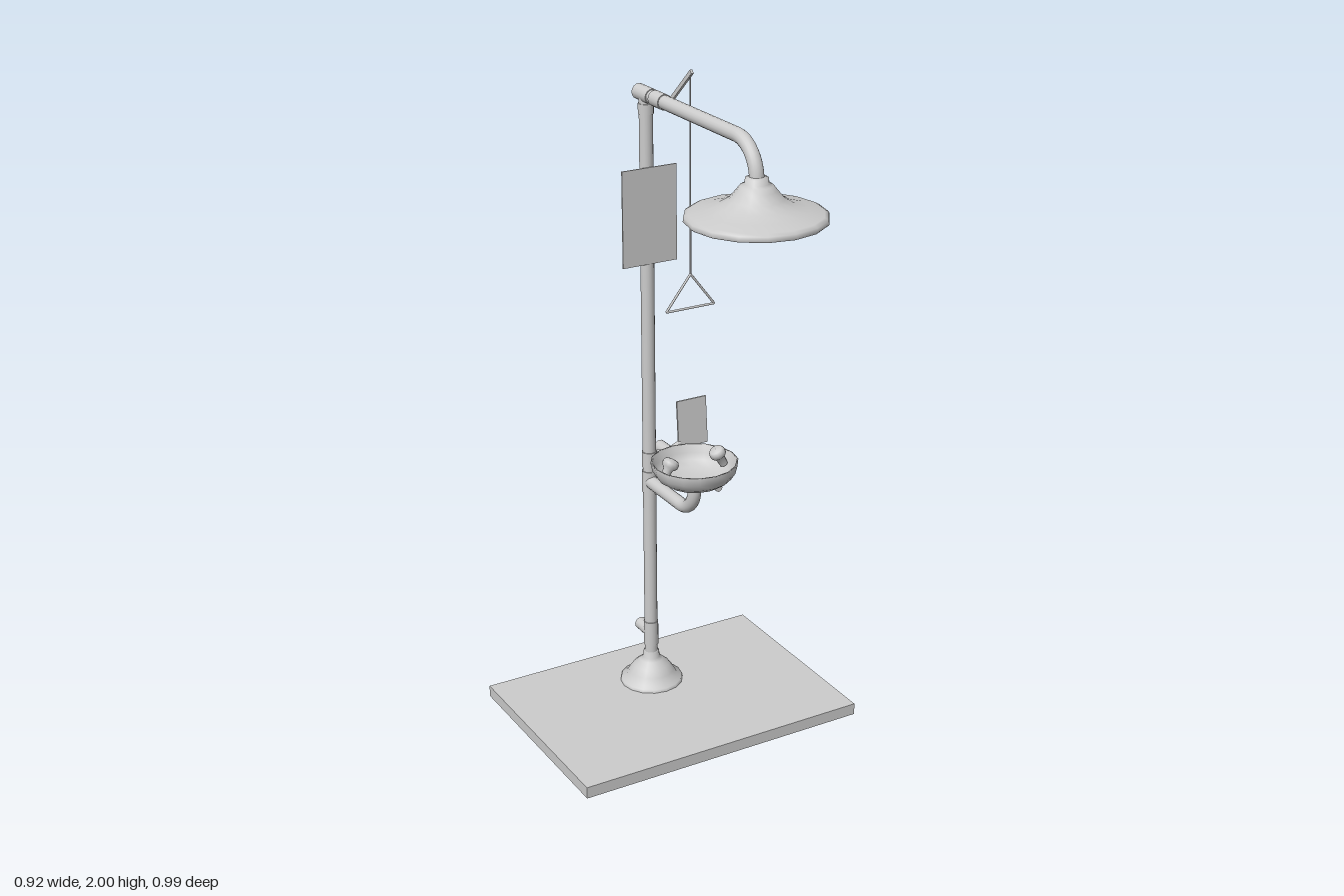
import * as THREE from 'three';

const POLE_Z = -0.287, PIPE_R = 0.02;
const mat = new THREE.MeshStandardMaterial({ color: 0xcccccc });
const matDouble = new THREE.MeshStandardMaterial({ color: 0xcccccc, side: THREE.DoubleSide });
const V = (x, y, z) => new THREE.Vector3(x, y, z);

export function createModel() {
  const root = new THREE.Group();
  root.name = 'emergencyShower';

  const add = (name, geometry, x = 0, y = 0, z = 0, material = mat) => {
    const mesh = new THREE.Mesh(geometry, material);
    mesh.name = name;
    mesh.position.set(x, y, z);
    root.add(mesh);
    return mesh;
  };
  // Straight cylinder between two points
  const rod = (name, a, b, r, sides = 16) => {
    const mesh = add(name, new THREE.CylinderGeometry(r, r, a.distanceTo(b), sides));
    mesh.position.copy(a).add(b).multiplyScalar(0.5);
    mesh.quaternion.setFromUnitVectors(V(0, 1, 0), b.clone().sub(a).normalize());
    return mesh;
  };
  const lathe = (name, pts, x, y, z, sides = 16, material = mat) =>
    add(name, new THREE.LatheGeometry(pts.map(p => new THREE.Vector2(...p)), sides), x, y, z, material);
  // Straight pipe, quarter bend, straight pipe
  const bentPipe = (name, start, corner, end, bend, r) => {
    const a = corner.clone().add(start.clone().sub(corner).setLength(bend));
    const b = corner.clone().add(end.clone().sub(corner).setLength(bend));
    const k = 0.4477;
    const curve = new THREE.CubicBezierCurve3(a, a.clone().lerp(corner, 1 - k), b.clone().lerp(corner, 1 - k), b);
    rod(name + 'Run', start, a, r);
    add(name + 'Elbow', new THREE.TubeGeometry(curve, 12, r, 16));
    if (b.distanceTo(end) > 0.001) rod(name + 'Drop', b, end, r);
  };

  // Base plate, floor flange and pole
  add('basePlate', new THREE.BoxGeometry(0.92, 0.036, 0.658), 0, 0.018, -0.166);
  lathe('floorFlange', [[0.097, 0], [0.095, 0.01], [0.08, 0.016], [0.07, 0.035], [0.055, 0.055],
    [0.035, 0.072], [0.026, 0.08], [0.024, 0.1], [0.02, 0.1]], 0, 0.036, POLE_Z);
  rod('pole', V(0, 0.036, POLE_Z), V(0, 1.895, POLE_Z), PIPE_R);

  // Pipe tees: collars on the pole and a stub at the back of the lowest one
  for (const [y, h] of [[0.2, 0.08], [0.715, 0.07], [0.787, 0.05], [1.855, 0.03]])
    rod('poleCollar', V(0, y - h / 2, POLE_Z), V(0, y + h / 2, POLE_Z), 0.0225);
  rod('drainStub', V(0, 0.2, POLE_Z), V(0, 0.2, -0.355), 0.019);

  // Overhead arm with tee and valve collars
  bentPipe('showerArm', V(0, 1.895, -0.328), V(0, 1.895, 0.302), V(0, 1.79, 0.302), 0.1, PIPE_R);
  rod('armTee', V(0, 1.895, -0.328), V(0, 1.895, -0.25), 0.0225);
  rod('showerValve', V(0, 1.895, -0.235), V(0, 1.895, -0.18), 0.0225);

  // Shower head
  lathe('showerHead', [[0.188, 1.69], [0.192, 1.694], [0.191, 1.706], [0.18, 1.712], [0.14, 1.721],
    [0.1, 1.733], [0.073, 1.749], [0.054, 1.772], [0.044, 1.785], [0.033, 1.79], [0.031, 1.805], [0.019, 1.808]], 0, 0, 0.302);
  add('sprayFace', new THREE.CircleGeometry(0.189, 16).rotateX(Math.PI / 2), 0, 1.692, 0.302);

  // Pull lever, rod and triangular handle
  rod('leverPivot', V(0, 1.89, -0.2), V(0.034, 1.89, -0.2), 0.008, 10);
  const lever = add('pullLever', new THREE.BoxGeometry(0.008, 0.012, 0.172), 0.026, 1.941, -0.14);
  lever.rotation.x = -Math.atan2(0.112, 0.124);
  const apex = V(0.025, 1.425, -0.083), left = V(0.102, 1.325, -0.083), right = V(-0.053, 1.325, -0.083);
  rod('pullRod', V(0.025, 1.993, -0.083), apex, 0.0025, 8);
  for (const [a, b] of [[apex, left], [left, right], [right, apex]]) rod('pullHandle', a, b, 0.0035, 8);

  // Sign panel on the pole
  add('signPanel', new THREE.BoxGeometry(0.175, 0.285, 0.004), -0.003, 1.548, -0.266);

  // Eyewash bowl and its supply pipe
  bentPipe('bowlPipe', V(0, 0.715, POLE_Z), V(0, 0.715, -0.018), V(0, 0.815, -0.018), 0.08, PIPE_R);
  lathe('eyewashBowl', [[0, 0.81], [0.05, 0.812], [0.085, 0.822], [0.108, 0.838], [0.121, 0.858], [0.127, 0.884],
    [0.121, 0.884], [0.115, 0.86], [0.103, 0.843], [0.083, 0.828], [0.05, 0.819], [0, 0.817]], 0, 0, -0.018, 16, matDouble);

  // Eyewash nozzles, tilted towards each other
  for (const s of [-1, 1]) {
    const nozzle = lathe('eyewashNozzle', [[0.012, -0.04], [0.014, -0.012], [0.024, -0.002], [0.024, 0.01],
      [0.019, 0.018], [0, 0.021]], s * 0.08, 0.887, -0.02, 14);
    nozzle.rotation.z = s * 0.5;
  }

  // Eyewash valve beside the pole with its feed rod
  const vx = 0.073, vy = 0.787;
  rod('valveBranch', V(0, vy, POLE_Z), V(vx, vy, POLE_Z), 0.017);
  rod('branchCollar', V(0.02, vy, POLE_Z), V(0.04, vy, POLE_Z), 0.021);
  rod('valveBody', V(vx, vy, -0.355), V(vx, vy, -0.25), 0.0195);
  rod('valveNut', V(vx, vy, -0.262), V(vx, vy, -0.24), 0.022, 6);
  rod('feedRod', V(vx, vy, -0.25), V(vx, vy, -0.003), 0.0115, 12);

  // Push flag that opens the valve
  rod('flagStem', V(vx, 0.8, -0.291), V(0.108, 0.815, -0.291), 0.008, 10);
  const flag = add('pushFlag', new THREE.BoxGeometry(0.1, 0.147, 0.006), 0.151, 0.872, -0.294);
  flag.rotation.x = -0.08;

  return root;
}
